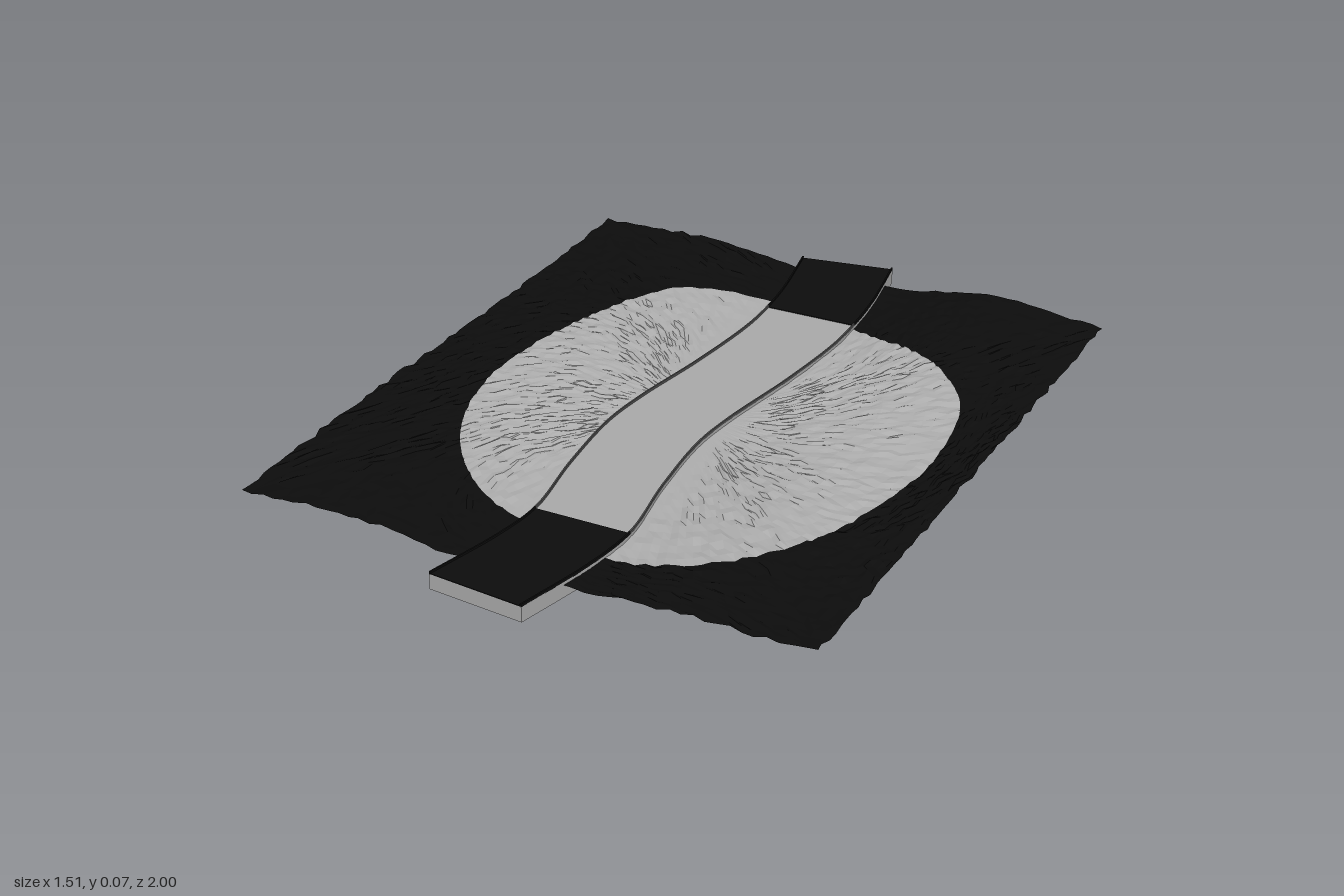
import * as THREE from 'three';

const mat = (name, color, side = THREE.FrontSide) => {
  const m = new THREE.MeshStandardMaterial({ color, flatShading: true, side });
  m.name = name;
  return m;
};

const { smoothstep } = THREE.MathUtils;

// Repeatable noise in -1..1 from a position
function noise(x, z) {
  const s = Math.sin(Math.round(x * 1000) * 12.9898 + Math.round(z * 1000) * 78.233) * 43758.5453;
  return (s - Math.floor(s)) * 2 - 1;
}

// Ground level: low along the road, a gentle swell on either side
function height(x, z) {
  const left = 0.03 * smoothstep(-x, 0.1, 0.42) * (1 + 0.15 * Math.sin(z * 4)) - 0.008 * smoothstep(-x, 0.5, 0.75);
  const right = Math.exp(-(((x - 0.46) / 0.19) ** 2)) * (0.027 - 0.015 * z) + 0.01 * smoothstep(x, 0.5, 0.75);
  const base = x < 0 ? left : right * smoothstep(x, 0.1, 0.3);
  return 0.032 + base + 0.004 * noise(x, z) * smoothstep(Math.abs(x), 0.1, 0.22);
}

// Outline of the pale ground, as x, z pairs
const OUTLINE = [
  [0.64, 0.05], [0.61, 0.26], [0.55, 0.44], [0.47, 0.57], [0.37, 0.66], [0.25, 0.71], [0.15, 0.72],
  [0.02, 0.7], [-0.1, 0.66], [-0.24, 0.61], [-0.36, 0.51], [-0.46, 0.35], [-0.52, 0.15], [-0.53, -0.05],
  [-0.49, -0.3], [-0.43, -0.47], [-0.36, -0.59], [-0.27, -0.645], [-0.17, -0.675], [-0.08, -0.675],
  [0.04, -0.655], [0.16, -0.62], [0.36, -0.53], [0.5, -0.43], [0.59, -0.31], [0.63, -0.15],
];

// Matching points round the outer rectangle and the inner outline
function groundLoops() {
  const corners = [[0.75, -0.91], [0.75, 0.87], [-0.75, 0.87], [-0.75, -0.91]];
  const dense = new THREE.CatmullRomCurve3(OUTLINE.map(([x, z]) => new THREE.Vector3(x, 0, z)), true)
    .getPoints(1500);
  const angles = dense.map(p => Math.atan2(p.z, p.x));
  const outer = [], inner = [];
  corners.forEach(([x0, z0], k) => {
    const [x1, z1] = corners[(k + 1) % 4];
    const n = k % 2 ? 50 : 60;
    for (let i = 0; i < n; i++) {
      const x = x0 + (x1 - x0) * i / n, z = z0 + (z1 - z0) * i / n;
      const a = Math.atan2(z, x);
      let best = 0, gap = 9;
      angles.forEach((b, j) => {
        const d = Math.abs(Math.atan2(Math.sin(a - b), Math.cos(a - b)));
        if (d < gap) { gap = d; best = j; }
      });
      inner.push([dense[best].x, dense[best].z]);
      const w = 0.005 * noise(x, z); // ragged border
      outer.push(k % 2 ? [x, z + w] : [x + w, z]);
    }
  });
  return { outer, inner };
}

// Surface of rings running from one loop out to another
function groundGeometry(from, to, rings) {
  const pos = [], index = [], n = from.length;
  for (let r = 0; r <= rings; r++) {
    for (let i = 0; i < n; i++) {
      const t = r / rings;
      const x = from[i][0] + (to[i][0] - from[i][0]) * t;
      const z = from[i][1] + (to[i][1] - from[i][1]) * t;
      pos.push(x, height(x, z), z);
      if (r < rings) {
        const a = r * n + i, b = r * n + (i + 1) % n;
        index.push(a, b, a + n, b, b + n, a + n);
      }
    }
  }
  const g = new THREE.BufferGeometry();
  g.setAttribute('position', new THREE.Float32BufferAttribute(pos, 3));
  g.setIndex(index);
  g.computeVertexNormals();
  return g;
}

// Road centre line: x, skew of the cross-section, z
const HALF = 0.128;
const PATH = new THREE.CatmullRomCurve3([
  [-0.025, -0.022, -0.978], [0.015, -0.012, -0.76], [0.03, 0, -0.6], [0.031, 0, -0.48], [0.01, 0, -0.25],
  [-0.026, 0, 0], [-0.035, 0, 0.15], [-0.012, 0, 0.38], [0.025, 0, 0.61], [0.013, 0.008, 0.76],
  [-0.036, 0.013, 0.987],
].map(p => new THREE.Vector3(...p)));
const ROWS = PATH.getPoints(120);

// Sweep a counter-clockwise cross-section along the road between two z values
function sweep(u0, u1, y0, y1, zMin, zMax) {
  const rows = ROWS.filter(p => p.z >= zMin && p.z <= zMax);
  const section = [[u0, y0], [u1, y0], [u1, y1], [u0, y1]];
  const pos = [], index = [];
  rows.forEach((p, r) => {
    section.forEach(([u, y], j) => {
      pos.push(p.x + u, y, p.z + p.y * u / HALF);
      if (r < rows.length - 1) {
        const a = r * 4 + j, b = r * 4 + (j + 1) % 4;
        index.push(a, b, a + 4, b, b + 4, a + 4);
      }
    });
  });
  const e = (rows.length - 1) * 4;
  index.push(0, 2, 1, 0, 3, 2, e, e + 1, e + 2, e, e + 2, e + 3);
  const g = new THREE.BufferGeometry();
  g.setAttribute('position', new THREE.Float32BufferAttribute(pos, 3));
  g.setIndex(index);
  const flat = g.toNonIndexed();
  flat.computeVertexNormals();
  return flat;
}

export function createModel() {
  const model = new THREE.Group();
  model.name = 'roadTile';
  const black = mat('black', 0x0c0c0c, THREE.DoubleSide);
  const paleGround = mat('pale ground grey', 0xacacac, THREE.DoubleSide);
  const roadGrey = mat('road grey', 0xa8a8a8);
  const edgeGrey = mat('dark edge grey', 0x4c4c4c);
  const add = (name, geometry, material) => {
    const m = new THREE.Mesh(geometry, material);
    m.name = name;
    model.add(m);
  };

  // Ground: pale patch and dark surround share one edge
  const { outer, inner } = groundLoops();
  add('groundPatch', groundGeometry(inner.map(() => [0, 0]), inner, 24), paleGround);
  add('groundSurround', groundGeometry(inner, outer, 14), black);

  // Road slab with dark ends and thin raised edges
  add('roadSlab', sweep(-HALF, HALF, 0, 0.04, -2, 2), roadGrey);
  const parts = [['back', -2, -0.62, black], ['middle', -0.64, 0.62, edgeGrey], ['front', 0.6, 2, black]];
  for (const [name, z0, z1, material] of parts) {
    if (material === black) add(name + 'RoadEnd', sweep(-HALF, HALF, 0.039, 0.042, z0, z1), black);
    add(name + 'LeftEdge', sweep(HALF - 0.004, HALF, 0.039, 0.047, z0, z1), material);
    add(name + 'RightEdge', sweep(-HALF, -HALF + 0.004, 0.039, 0.047, z0, z1), material);
  }
  return model;
}
